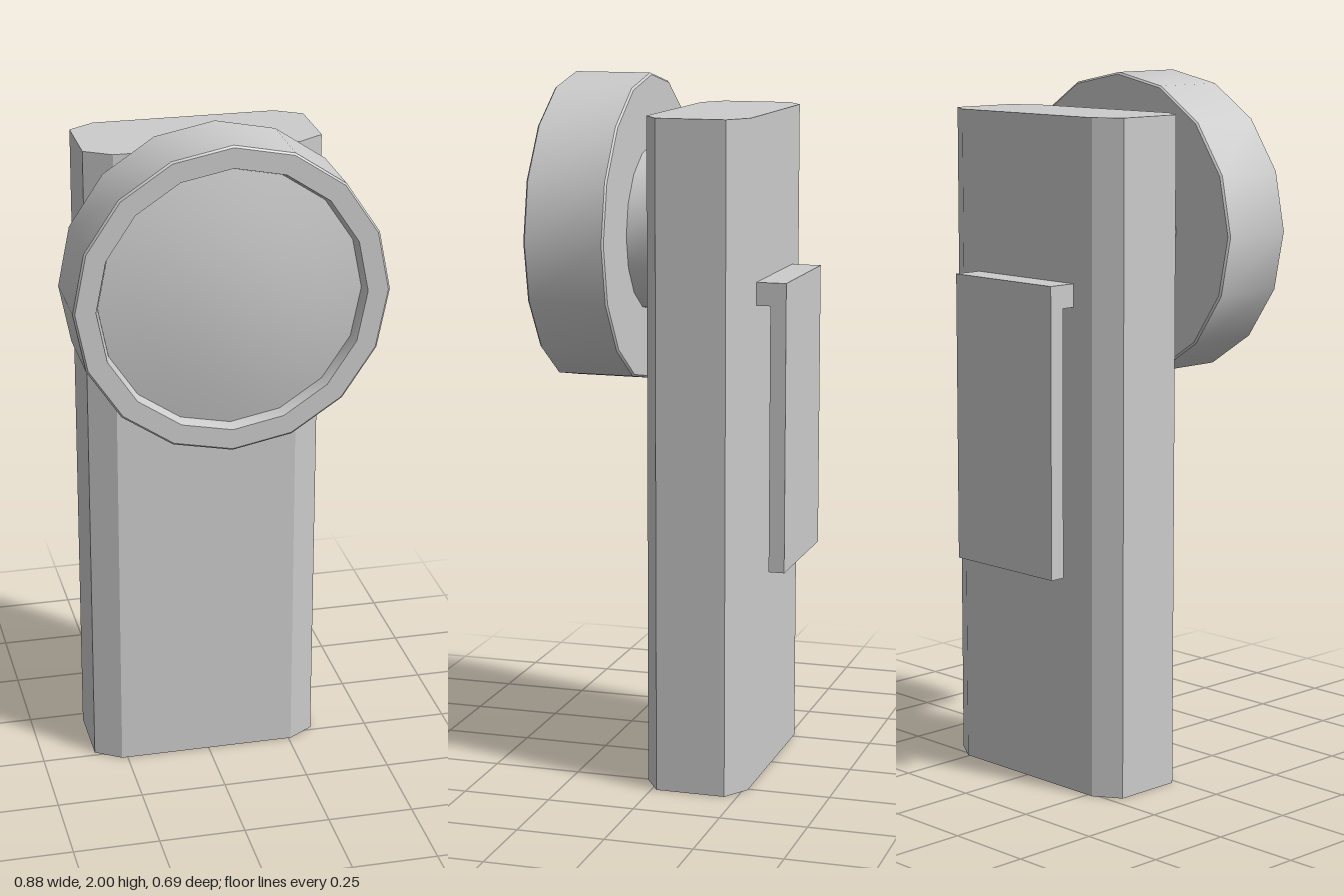
import * as THREE from 'three';
import { toCreasedNormals } from 'three/addons/utils/BufferGeometryUtils.js';

const material = new THREE.MeshStandardMaterial({ color: 0xcccccc });
const HEAD_Y = 1.5625;

function addMesh(group, name, geometry) {
  const mesh = new THREE.Mesh(geometry, material);
  mesh.name = name;
  group.add(mesh);
  return mesh;
}

// Turned part whose axis points forward; profile pairs are [radius, z]
function turned(profile) {
  const points = profile.map(([r, z]) => new THREE.Vector2(r, z));
  const geometry = new THREE.LatheGeometry(points, 16);
  geometry.rotateX(Math.PI / 2);
  geometry.translate(0, HEAD_Y, 0);
  return toCreasedNormals(geometry, 0.5);
}

function extruded(corners, depth) {
  const shape = new THREE.Shape(corners.map(([x, y]) => new THREE.Vector2(x, y)));
  return new THREE.ExtrudeGeometry(shape, { depth, bevelEnabled: false });
}

export function createModel() {
  const group = new THREE.Group();
  group.name = 'anglePocketLamp';

  // Upright body: chamfered rectangle extruded upwards
  const x0 = -0.342, x1 = 0.332, back = 0.263, front = -0.033, cx = 0.075, cz = 0.048;
  const body = extruded([
    [x0 + cx, front], [x1 - cx, front], [x1, front + cz], [x1, back - cz],
    [x1 - cx, back], [x0 + cx, back], [x0, back - cz], [x0, front + cz],
  ], 1.9);
  body.rotateX(-Math.PI / 2);
  addMesh(group, 'body', body);

  // Short neck between body and head
  addMesh(group, 'neck', turned([[0.235, 0.02], [0.235, 0.11]]));

  // Head with softened rims and a recess for the lens
  addMesh(group, 'head', turned([
    [0, 0.1], [0.432, 0.1], [0.4375, 0.105], [0.4375, 0.325], [0.432, 0.33],
    [0.375, 0.33], [0.365, 0.295],
  ]));

  // Shallow domed lens
  addMesh(group, 'lens', turned([[0.365, 0.297], [0.26, 0.317], [0.16, 0.33], [0, 0.343]]));

  // Belt clip: hooked profile extruded sideways
  const clip = extruded([
    [-0.26, 1.38], [-0.26, 1.445], [-0.348, 1.445], [-0.348, 0.625],
    [-0.303, 0.625], [-0.303, 1.38],
  ], 0.388);
  clip.rotateY(-Math.PI / 2);
  clip.translate(0.193, 0, 0);
  addMesh(group, 'beltClip', clip);

  return group;
}
